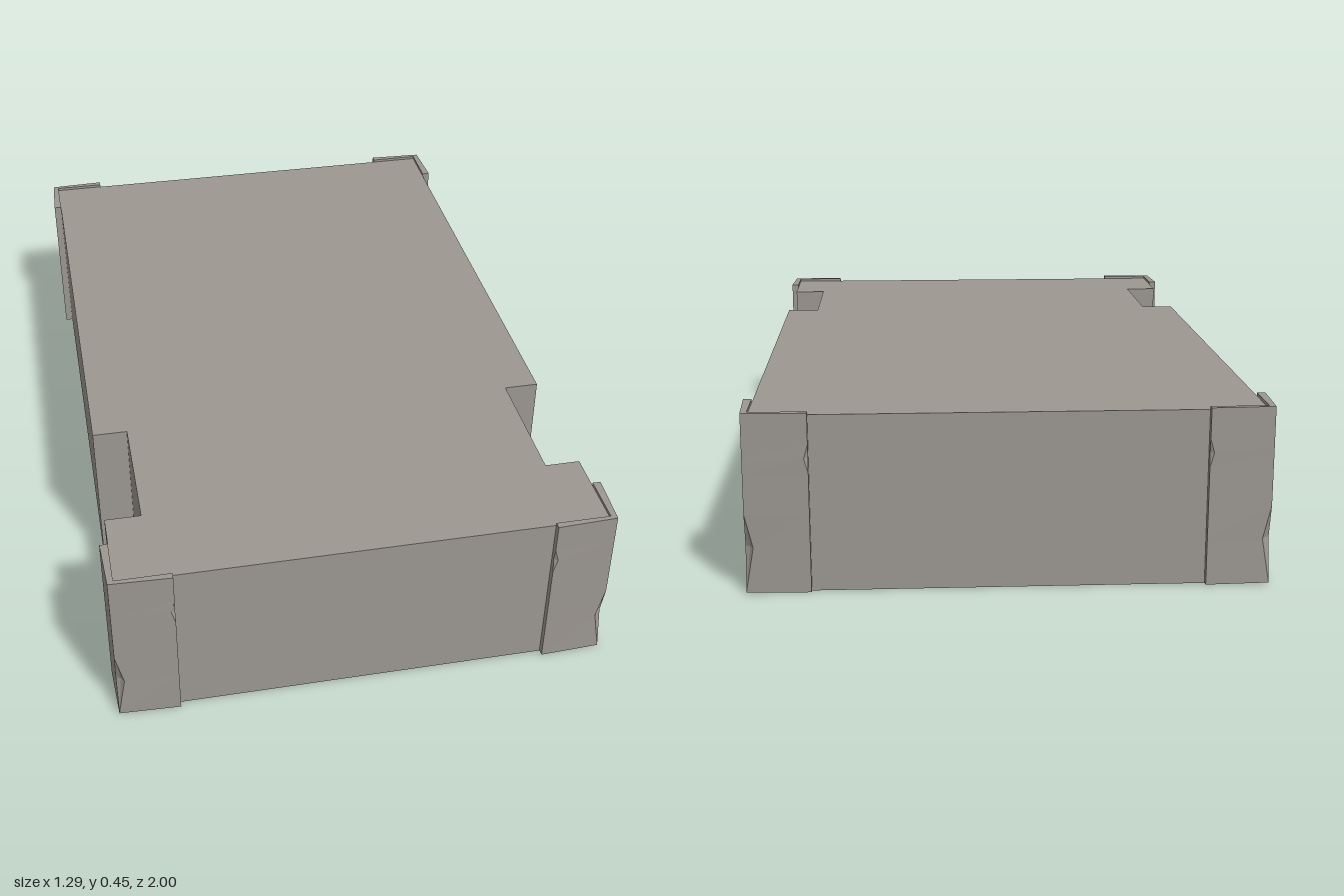
import * as THREE from 'three';

const HX = 0.622, HZ = 0.982, TOP = 0.44;            // body half sizes and height
const NX = 0.53, NZ0 = 0.4, NZ1 = 0.75, NY = 0.015;  // side recesses

// Flat-faced geometry from a list of four-cornered faces
function fromQuads(quads) {
  const pos = [];
  for (const [a, b, c, d] of quads) pos.push(...a, ...b, ...c, ...a, ...c, ...d);
  const g = new THREE.BufferGeometry();
  g.setAttribute('position', new THREE.Float32BufferAttribute(pos, 3));
  g.computeVertexNormals();
  return g;
}

// L-shaped corner guard with a chipped corner and a nick in its wide arm
function guardGeometry(sx, sz) {
  // [y, corner chip, arm nick]
  const levels = [[0.002, 0, 0], [0.115, 1, 0], [0.2, 0, 0], [0.3, 0, 0],
    [0.337, 0, 1], [0.372, 0, 0], [0.448, 0, 0]];
  const rings = levels.map(([y, chip, nick]) => [
    [HX, HZ], [0.48, HZ],
    [0.48, 1 - 0.006 * nick], [0.48 + 0.01 * nick, 0.9995],
    [0.637 - 0.02 * chip, 0.993], [0.637 - 0.012 * chip, 0.993 - 0.012 * chip], [0.637, 0.993 - 0.02 * chip],
    [0.643, 0.85], [HX, 0.85],
  ].map(([x, z]) => [x * sx, y, z * sz]));
  const quads = [];
  const n = rings[0].length;
  for (let k = 0; k < rings.length - 1; k++) {
    for (let i = 0; i < n; i++) {
      const j = (i + 1) % n;
      quads.push([rings[k][i], rings[k][j], rings[k + 1][j], rings[k + 1][i]]);
    }
  }
  // End caps, one four-cornered face for each arm
  const t = rings[rings.length - 1], b = rings[0];
  quads.push([t[0], t[1], t[3], t[5]], [t[0], t[5], t[7], t[8]]);
  quads.push([b[5], b[3], b[1], b[0]], [b[8], b[7], b[5], b[0]]);
  return fromQuads(sx * sz > 0 ? quads : quads.map(q => q.reverse()));
}

export function createModel() {
  const model = new THREE.Group();
  model.name = 'trayCover';
  const grey = new THREE.MeshStandardMaterial({ color: 0x9c9791, side: THREE.DoubleSide, flatShading: true });
  grey.name = 'warm grey';
  const add = (name, geometry) => {
    const m = new THREE.Mesh(geometry, grey);
    m.name = name;
    model.add(m);
  };

  // Outline in x and z, with one recess on each side
  const half = [[HX, HZ], [HX, NZ1], [NX, NZ1], [NX, NZ0], [HX, NZ0], [HX, -HZ]];
  const outline = [...half, ...half.map(([x, z]) => [-x, z]).reverse()];

  // Top panel
  const top = new THREE.ShapeGeometry(new THREE.Shape(outline.map(([x, z]) => new THREE.Vector2(x, -z))));
  top.rotateX(-Math.PI / 2);
  top.translate(0, TOP, 0);
  add('topPanel', top);

  // Thin outer walls, open underneath
  const isRecess = i => (i >= 1 && i <= 3) || (i >= 7 && i <= 9);
  add('walls', fromQuads(outline.map(([x0, z0], i) => {
    const [x1, z1] = outline[(i + 1) % outline.length];
    const y = isRecess(i) ? NY : 0;
    return [[x0, y, z0], [x1, y, z1], [x1, TOP, z1], [x0, TOP, z0]];
  })));

  // Recess floors and the low sills in front of them
  for (const s of [1, -1]) {
    const quads = [
      [[s * NX, NY, NZ0], [s * NX, NY, NZ1], [s * HX, NY, NZ1], [s * HX, NY, NZ0]],
      [[s * HX, 0, NZ1], [s * HX, 0, NZ0], [s * HX, NY, NZ0], [s * HX, NY, NZ1]],
    ];
    add(s > 0 ? 'leftRecessFloor' : 'rightRecessFloor', fromQuads(s > 0 ? quads : quads.map(q => q.reverse())));
  }

  // Corner guards
  for (const sx of [1, -1]) {
    for (const sz of [1, -1]) {
      add((sz > 0 ? 'front' : 'back') + (sx > 0 ? 'Left' : 'Right') + 'CornerGuard', guardGeometry(sx, sz));
    }
  }
  return model;
}
